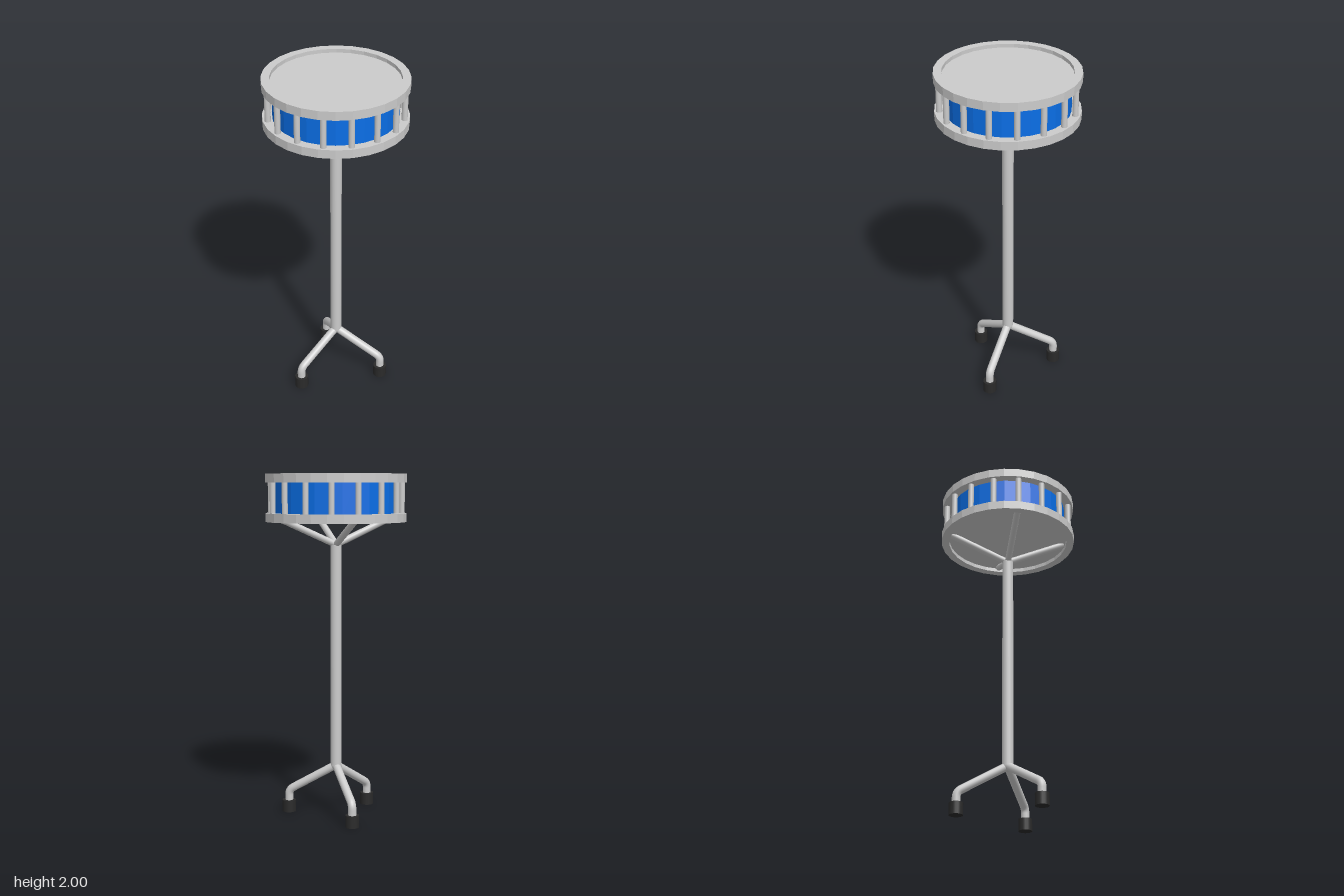
import * as THREE from 'three';

const metal = new THREE.MeshStandardMaterial({ color: 0xcccccc });
const metalFlat = new THREE.MeshStandardMaterial({ color: 0xcccccc, flatShading: true });
const blue = new THREE.MeshStandardMaterial({ color: 0x0a6ee6, flatShading: true });
const rubber = new THREE.MeshStandardMaterial({ color: 0x2a2a2a });
const SIDES = 28;

function add(parent, name, geometry, material, x = 0, y = 0, z = 0) {
  const mesh = new THREE.Mesh(geometry, material);
  mesh.name = name;
  mesh.position.set(x, y, z);
  parent.add(mesh);
  return mesh;
}

// Straight round bar between two points
function bar(parent, name, a, b, radius) {
  const dir = b.clone().sub(a);
  const mesh = add(parent, name, new THREE.CylinderGeometry(radius, radius, dir.length(), 14), metal);
  mesh.position.copy(a).add(b).multiplyScalar(0.5);
  mesh.quaternion.setFromUnitVectors(new THREE.Vector3(0, 1, 0), dir.normalize());
  return mesh;
}

// Rectangular-section ring from y0 to y1
function hoopGeometry(inner, outer, y0, y1) {
  const profile = [[inner, y0], [outer, y0], [outer, y1], [inner, y1], [inner, y0]];
  return new THREE.LatheGeometry(profile.map(p => new THREE.Vector2(...p)), SIDES);
}

export function createModel() {
  const model = new THREE.Group();
  model.name = 'drumOnStand';

  // Drum: shell, hoops and recessed heads
  const drum = new THREE.Group();
  drum.name = 'drum';
  model.add(drum);
  add(drum, 'shell', new THREE.CylinderGeometry(0.348, 0.348, 0.2, SIDES, 1, true), blue, 0, 1.865);
  add(drum, 'topHoop', hoopGeometry(0.358, 0.404, 1.95, 2), metalFlat);
  add(drum, 'bottomHoop', hoopGeometry(0.358, 0.404, 1.728, 1.778), metalFlat);
  const head = new THREE.CylinderGeometry(0.359, 0.359, 0.024, SIDES);
  add(drum, 'topHead', head, metalFlat, 0, 1.966);
  add(drum, 'bottomHead', head, metalFlat, 0, 1.763);

  // Tension rods around the shell
  const rod = new THREE.CylinderGeometry(0.017, 0.017, 0.18, 12);
  for (let i = 0; i < 16; i++) {
    const a = (i / 16) * Math.PI * 2;
    add(drum, 'tensionRod', rod, metal, 0.376 * Math.sin(a), 1.864, 0.376 * Math.cos(a));
  }

  // Stand: pole and four arms that carry the drum
  const stand = new THREE.Group();
  stand.name = 'stand';
  model.add(stand);
  add(stand, 'pole', new THREE.CylinderGeometry(0.033, 0.033, 1.3, 18), metal, 0, 0.945);
  for (let i = 0; i < 4; i++) {
    const a = (i * Math.PI) / 2;
    bar(stand, 'supportArm', new THREE.Vector3(0, 1.597, 0),
      new THREE.Vector3(0.345 * Math.sin(a), 1.752, 0.345 * Math.cos(a)), 0.019);
  }

  // Three bent legs with rubber feet, one pointing straight back
  const reach = 0.286;
  const path = new THREE.CurvePath();
  const top = new THREE.Vector3(0, 0.297, 0);
  const elbow = new THREE.Vector3(0, 0.132, reach);
  const before = elbow.clone().lerp(top, 0.09);
  const after = new THREE.Vector3(0, 0.102, reach);
  path.add(new THREE.LineCurve3(top, before));
  path.add(new THREE.QuadraticBezierCurve3(before, elbow, after));
  path.add(new THREE.LineCurve3(after, new THREE.Vector3(0, 0.04, reach)));
  const legGeometry = new THREE.TubeGeometry(path, 48, 0.024, 14);
  const footGeometry = new THREE.CylinderGeometry(0.04, 0.04, 0.07, 18);
  for (let i = 0; i < 3; i++) {
    const leg = new THREE.Group();
    leg.name = 'leg';
    leg.rotation.y = Math.PI + (i * Math.PI * 2) / 3;
    add(leg, 'legTube', legGeometry, metal);
    add(leg, 'foot', footGeometry, rubber, 0, 0.035, reach);
    stand.add(leg);
  }
  // Rounded joint where the legs meet the pole
  add(stand, 'legJoint', new THREE.SphereGeometry(0.033, 16, 10), metal, 0, 0.297);

  return model;
}
